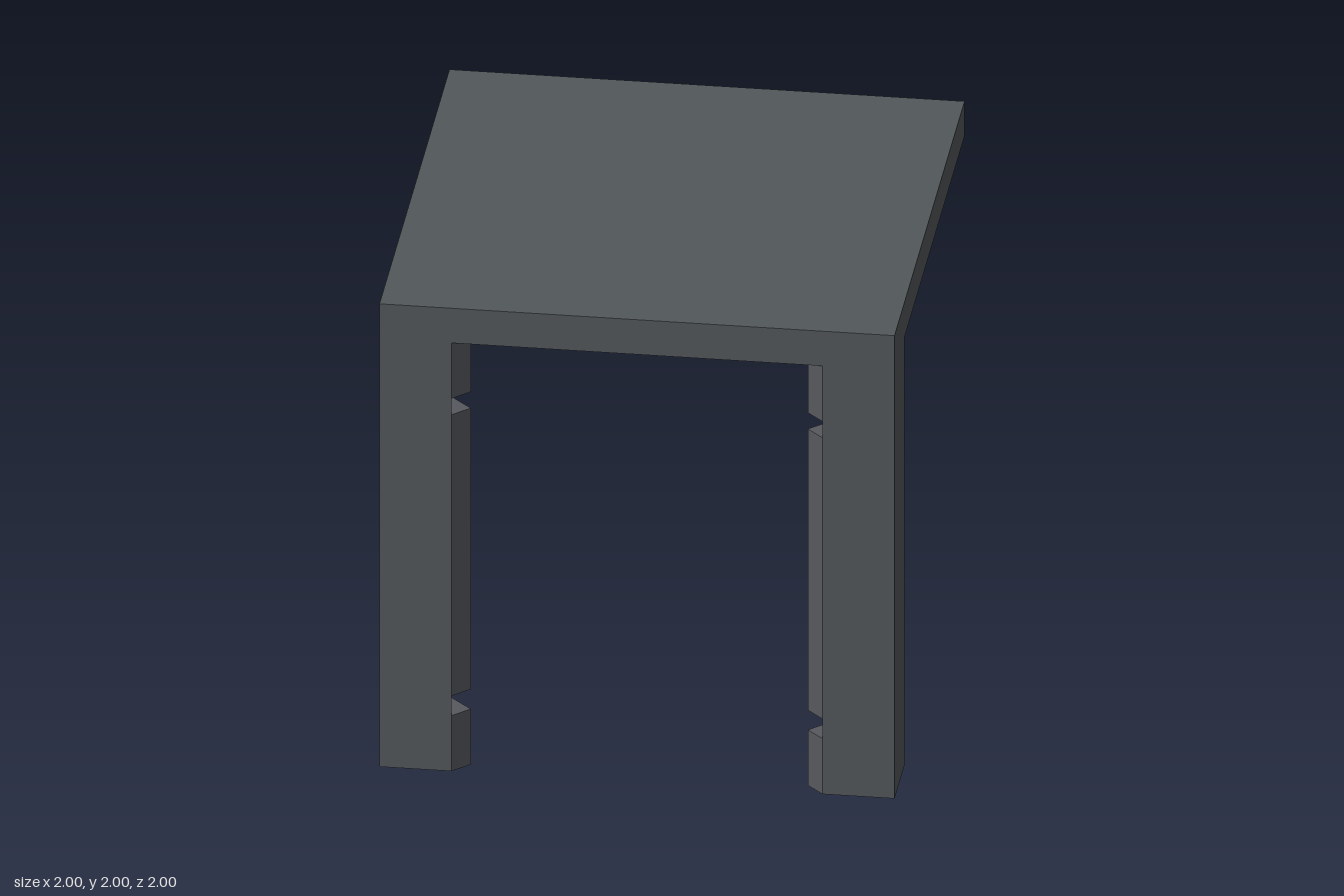
import * as THREE from 'three';

const HALF = 0.28 / Math.SQRT2; // half width of the diagonal inner face of a leg
const DEPTH = 0.093;            // how far the blocks stand out from the leg core

const bodyGrey = new THREE.MeshStandardMaterial({ color: 0x52575a });
bodyGrey.name = 'body grey';
const panelGrey = new THREE.MeshStandardMaterial({ color: 0x57595e });
panelGrey.name = 'panel grey';
const cyan = new THREE.MeshStandardMaterial({ color: 0x30bccc });
cyan.name = 'light cyan';

function add(parent, name, geometry, material, x = 0, y = 0, z = 0) {
  const mesh = new THREE.Mesh(geometry, material);
  mesh.name = name;
  mesh.position.set(x, y, z);
  parent.add(mesh);
  return mesh;
}

// Box from y0 to y1 that starts at depth z and is d deep
function slab(parent, name, w, y0, y1, z, d, material) {
  return add(parent, name, new THREE.BoxGeometry(w, y1 - y0, d), material, 0, (y0 + y1) / 2, z + d / 2);
}

function rectangle(Type, w, y0, y1) {
  return new Type().setFromPoints([
    new THREE.Vector2(-w / 2, y0), new THREE.Vector2(w / 2, y0),
    new THREE.Vector2(w / 2, y1), new THREE.Vector2(-w / 2, y1),
  ]);
}

// Flat frame around a rectangular opening
function frame(parent, name, y0, y1, holeW, h0, h1, z, d) {
  const shape = rectangle(THREE.Shape, HALF * 2, y0, y1);
  shape.holes.push(rectangle(THREE.Path, holeW, h0, h1));
  add(parent, name, new THREE.ExtrudeGeometry(shape, { depth: d, bevelEnabled: false }), panelGrey, 0, 0, z);
}

// Leg with its inner face looking along local +z
function makeLeg(name) {
  const leg = new THREE.Group();
  leg.name = name;

  // Triangular corner post
  const corner = new THREE.Shape([
    new THREE.Vector2(-HALF, 0), new THREE.Vector2(HALF, 0), new THREE.Vector2(0, HALF),
  ]);
  const post = new THREE.ExtrudeGeometry(corner, { depth: 1.85, bevelEnabled: false });
  post.rotateX(-Math.PI / 2);
  add(leg, 'cornerPost', post, bodyGrey);

  // Upper and lower blocks with a lit plate
  for (const [part, y0, y1, p0, p1] of [
    ['lower', 0, 0.24, 0.035, 0.21],
    ['upper', 1.61, 1.85, 1.645, 1.82],
  ]) {
    slab(leg, part + 'Block', HALF * 2, y0, y1, 0, DEPTH, panelGrey);
    slab(leg, part + 'PlateBase', 0.31, p0, p1, DEPTH, 0.012, panelGrey);
    slab(leg, part + 'LightPlate', 0.31, p0, p1, DEPTH + 0.012, 0.004, cyan);
  }

  // Long middle panel, stepped inward twice
  slab(leg, 'panelBack', HALF * 2, 0.325, 1.54, 0, 0.043, panelGrey);
  frame(leg, 'panelInnerFrame', 0.325, 1.54, 0.22, 0.43, 1.435, 0.043, 0.025);
  frame(leg, 'panelOuterFrame', 0.325, 1.54, 0.3, 0.375, 1.49, 0.068, 0.025);
  return leg;
}

export function createModel() {
  const model = new THREE.Group();
  model.name = 'canopy';

  // Square top
  add(model, 'top', new THREE.BoxGeometry(2, 0.15, 2), bodyGrey, 0, 1.925, 0);

  // Two front legs facing the middle
  for (const side of [-1, 1]) {
    const leg = makeLeg(side > 0 ? 'leftLeg' : 'rightLeg');
    leg.position.set(side * 0.86, 0, 0.86);
    leg.rotation.y = -side * Math.PI * 0.75;
    model.add(leg);
  }
  return model;
}
